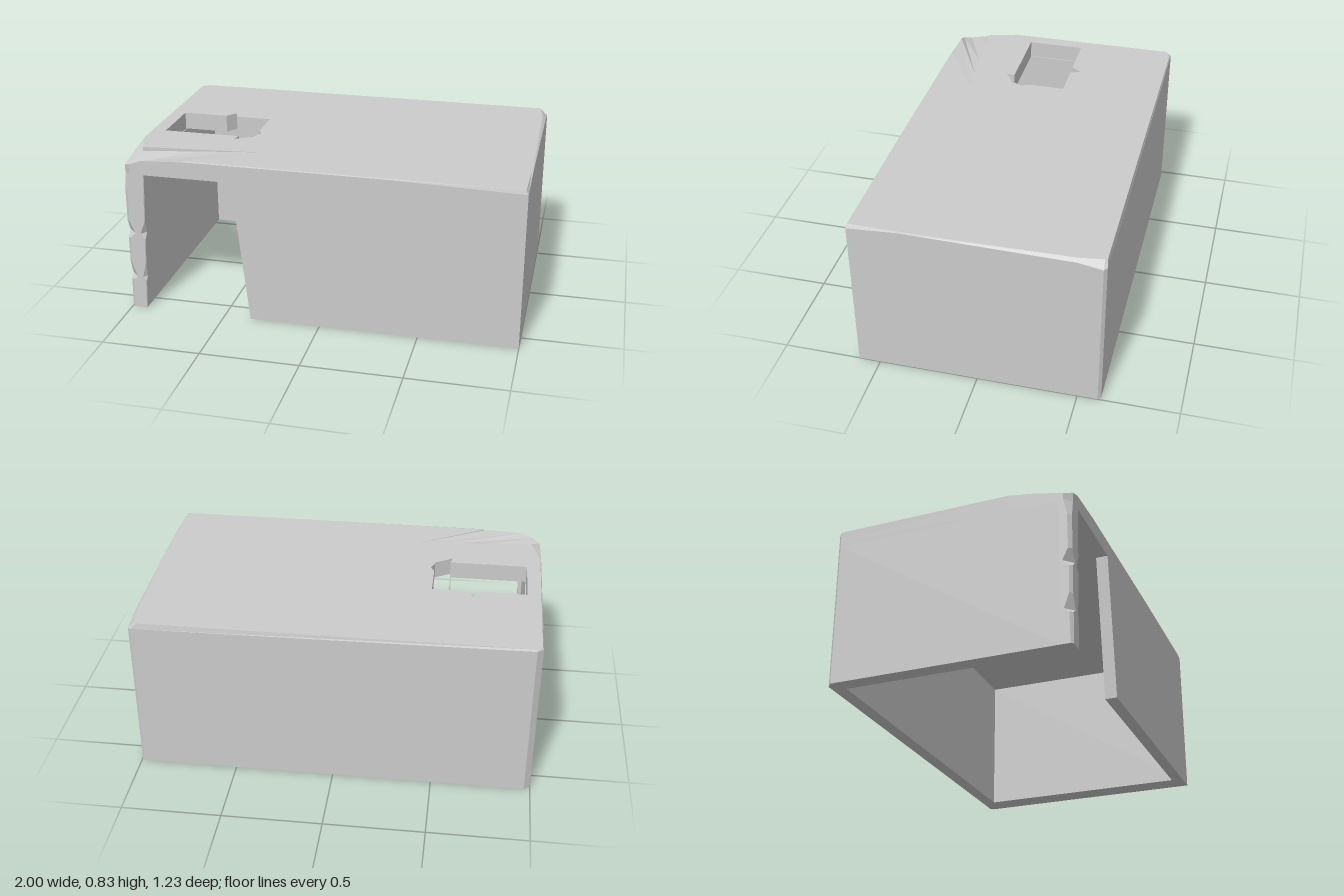
import * as THREE from 'three';

const material = new THREE.MeshStandardMaterial({ color: 0xcccccc, flatShading: true });
const toPoints = (list) => list.map(([x, y]) => new THREE.Vector2(x, y));

function part(name, geometry) {
  const mesh = new THREE.Mesh(geometry, material);
  mesh.name = name;
  return mesh;
}

// Upright slab from a floor plan given as [x, z] points
function slab(plan, bottom, top, hole) {
  const shape = new THREE.Shape(toPoints(plan));
  if (hole) shape.holes.push(new THREE.Path(toPoints(hole)));
  return new THREE.ExtrudeGeometry(shape, { depth: top - bottom, bevelEnabled: false })
    .rotateX(Math.PI / 2)
    .translate(0, top, 0);
}

// Skin over stacked rings, each counterclockwise seen from above
function loft(rings, capped) {
  const positions = [];
  const triangle = (a, b, c) => {
    const [p, q, r] = [a, b, c].map((v) => new THREE.Vector3(...v));
    if (new THREE.Triangle(p, q, r).getArea() > 1e-7) positions.push(...a, ...b, ...c);
  };
  for (let k = 0; k < rings.length - 1; k++) {
    const low = rings[k], high = rings[k + 1];
    for (let i = 0; i < low.length; i++) {
      const j = (i + 1) % low.length;
      triangle(low[i], low[j], high[j]);
      triangle(low[i], high[j], high[i]);
    }
  }
  if (capped) {
    const first = rings[0], last = rings[rings.length - 1];
    for (let i = 1; i < first.length - 1; i++) {
      triangle(first[0], first[i + 1], first[i]);
      triangle(last[0], last[i], last[i + 1]);
    }
  }
  const geometry = new THREE.BufferGeometry();
  geometry.setAttribute('position', new THREE.Float32BufferAttribute(positions, 3));
  geometry.computeVertexNormals();
  return geometry;
}

export function createModel() {
  const model = new THREE.Group();
  model.name = 'wornShelter';
  const wallTop = 0.74, deckTop = 0.77, top = 0.83, front = 0.61, inner = 0.55;

  // Side and back walls, open towards the front
  model.add(part('sideAndBackWalls', slab([
    [-1, inner], [-1, -0.59], [-0.97, -0.615], [0.985, -0.615], [1, -0.6], [1, front],
    [0.88, front], [0.88, -0.548], [-0.92, -0.548], [-0.92, inner],
  ], 0, wallTop)));

  // Front wall with the slanted doorway edge
  const frontShape = new THREE.Shape(toPoints([[-0.36, 0], [0.88, 0], [0.88, wallTop], [-0.44, wallTop]]));
  model.add(part('frontWall', new THREE.ExtrudeGeometry(frontShape, { depth: front - inner, bevelEnabled: false })
    .translate(0, 0, inner)));

  // Chipped door pillar: [height, outer corner cut, door corner cut]
  const chips = [
    [0, 0.012, 0.003], [0.155, 0.015, 0.004], [0.175, 0.04, 0.018], [0.25, 0.014, 0.003],
    [0.39, 0.014, 0.004], [0.42, 0.045, 0.025], [0.48, 0.016, 0.004], [0.66, 0.018, 0.003], [wallTop, 0.035, 0.003],
  ];
  model.add(part('doorPillar', loft(chips.map(([y, c, d]) => {
    const door = -0.92 + 0.03 * y / wallTop;
    return [
      [-1, y, inner], [-1, y, front - c], [-1 + c, y, front],
      [door - d, y, front], [door, y, front - d], [door, y, inner],
    ];
  }), true)));

  // Roof edge: [outer x, outer z, rim height, top x, top z, depth of crack]
  const edge = [
    [1, 0.61, 0.81, 0.988, 0.605], [1, 0.35, 0.827, 0.992, 0.35],
    [1, -0.48, 0.815, 0.982, -0.48], [1, -0.6, 0.795, 0.965, -0.6],
    [0.985, -0.615, 0.8, 0.955, -0.61], [-0.97, -0.615, 0.82, -0.96, -0.61],
    [-1, -0.59, 0.82, -0.995, -0.585], [-1, 0.3, 0.825, -0.995, 0.3],
    [-1, 0.44, 0.805, -0.95, 0.455, 0.02], [-1, 0.575, 0.775, -0.9, 0.452, 0.019],
    [-0.965, 0.61, 0.79, -0.65, 0.43, 0.01], [-0.9, 0.61, 0.815, -0.5, 0.416, 0.004],
    [-0.7, 0.61, 0.825, -0.35, 0.4, 0.001], [-0.68, 0.61, 0.827, -0.69, 0.6],
    [0.3, 0.61, 0.827, 0.3, 0.605],
  ];
  // Broken roof opening
  const opening = [
    [-0.925, -0.1], [-0.69, -0.1], [-0.65, -0.155], [-0.63, -0.1], [-0.445, -0.1], [-0.445, 0.09],
    [-0.425, 0.13], [-0.445, 0.17], [-0.445, 0.185], [-0.535, 0.24], [-0.525, 0.195], [-0.925, 0.195],
  ];
  const roof = new THREE.Group();
  roof.name = 'roof';
  const outerPlan = edge.map(([x, z]) => [x, z]);
  const topPlan = edge.map((e) => [e[3], e[4]]);
  roof.add(part('ceilingDeck', slab(outerPlan, wallTop, deckTop, opening)));
  roof.add(part('roofTop', slab(topPlan, deckTop, top, opening)));
  roof.add(part('wornRoofEdge', loft([
    edge.map(([x, z]) => [x, deckTop, z]),
    edge.map(([x, z, rim]) => [x, rim, z]),
    edge.map(([x, z, rim, tx, tz, crack]) => (crack ? [tx, top - crack, tz] : [x, rim, z])),
    edge.map((e) => [e[3], top, e[4]]),
  ], false)));
  model.add(roof);

  return model;
}
